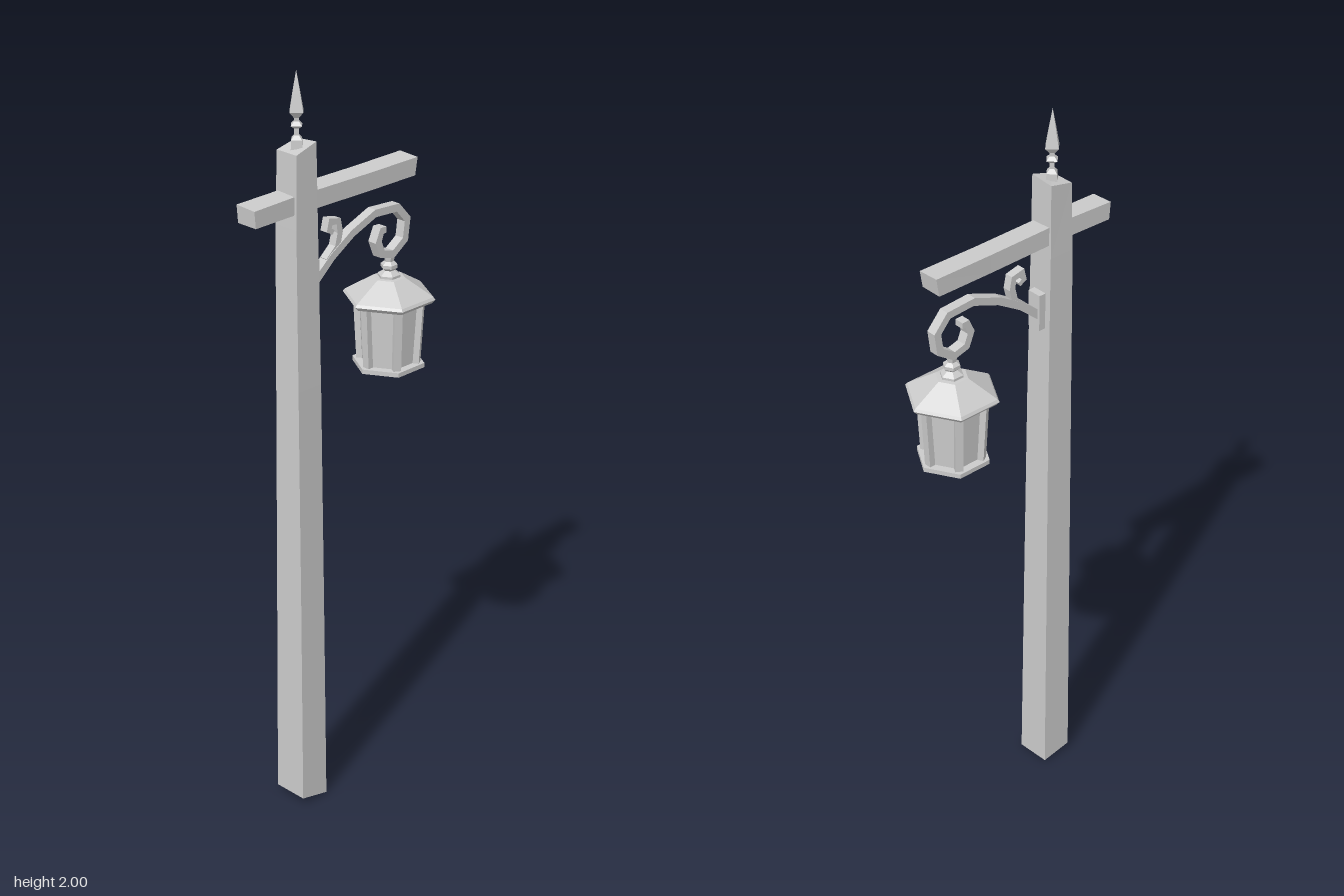
import * as THREE from 'three';

const mat = new THREE.MeshStandardMaterial({ color: 0xcccccc, flatShading: true });

function add(parent, name, geometry, x = 0, y = 0, z = 0) {
  const mesh = new THREE.Mesh(geometry, mat);
  mesh.name = name;
  mesh.position.set(x, y, z);
  parent.add(mesh);
  return mesh;
}

// Hewn timber: skins four-cornered rings, each ring ordered so its sides face outward
function timber(rings) {
  const index = [];
  for (let r = 0; r < rings.length - 1; r++) {
    for (let i = 0; i < 4; i++) {
      const a = r * 4 + i, b = r * 4 + (i + 1) % 4;
      index.push(a, b, b + 4, a, b + 4, a + 4);
    }
  }
  const e = (rings.length - 1) * 4;
  index.push(0, 2, 1, 0, 3, 2, e, e + 1, e + 2, e, e + 2, e + 3);
  const g = new THREE.BufferGeometry();
  g.setAttribute('position', new THREE.Float32BufferAttribute(rings.flat(2), 3));
  g.setIndex(index);
  const flat = g.toNonIndexed();
  flat.computeVertexNormals();
  return flat;
}

// Wrought iron strip: a mitred outline around a path [x, y, half width], extruded in z
function ironStrip(path, depth) {
  const pts = path.map(([x, y]) => new THREE.Vector2(x, y));
  const left = [], right = [];
  pts.forEach((p, i) => {
    const d0 = p.clone().sub(pts[Math.max(i - 1, 0)]).normalize();
    const d1 = pts[Math.min(i + 1, pts.length - 1)].clone().sub(p).normalize();
    const t = d0.clone().add(d1).normalize();
    const cos = t.dot(i ? d0 : d1);
    const n = new THREE.Vector2(-t.y, t.x).multiplyScalar(path[i][2] / Math.max(cos, 0.6));
    left.push(p.clone().add(n));
    right.push(p.clone().sub(n));
  });
  const shape = new THREE.Shape([...left, ...right.reverse()]);
  const g = new THREE.ExtrudeGeometry(shape, { depth, bevelEnabled: false });
  return g.translate(0, 0, -depth / 2);
}

// Faceted turning: profile of [radius, y], with corners on the x axis
function turned(profile, sides) {
  const g = new THREE.LatheGeometry(profile.map(([r, y]) => new THREE.Vector2(r, y)), sides);
  return g.rotateY(Math.PI / 2);
}

export function createModel() {
  const model = new THREE.Group();
  model.name = 'lampPost';

  // Post: [y, left x, right x, back z, front z, slant of the end]
  const postRings = [
    [0.01, -0.181, -0.094, -0.047, 0.05, 0.01],
    [0.6, -0.179, -0.097, -0.043, 0.046, 0],
    [1.2, -0.178, -0.1, -0.038, 0.041, 0],
    [1.62, -0.176, -0.104, -0.036, 0.036, 0],
    [1.815, -0.171, -0.105, -0.034, 0.033, -0.01],
  ].map(([y, l, r, b, f, s]) => [
    [l, y + s, f], [r, y - s, f], [r, y - s * 0.4, b], [l, y + s, b],
  ]);
  add(model, 'post', timber(postRings));

  // Crossbeam: [x, bottom y, top y, back z, front z, slant of the end]
  const beamRings = [
    [-0.303, 1.655, 1.702, -0.032, 0.029, -0.002],
    [-0.17, 1.656, 1.705, -0.029, 0.028, 0],
    [0.08, 1.654, 1.703, -0.03, 0.028, 0],
    [0.247, 1.655, 1.704, -0.031, 0.029, 0.004],
  ].map(([x, lo, hi, b, f, s]) => [
    [x - s, lo, f], [x - s, lo, b], [x + s, hi, b], [x + s, hi - 0.003, f],
  ]);
  add(model, 'crossbeam', timber(beamRings));

  // Spear finial
  add(model, 'finial', turned([
    [0, 1.8], [0.02, 1.805], [0.018, 1.832], [0.008, 1.842], [0.008, 1.858],
    [0.019, 1.866], [0.008, 1.876], [0.009, 1.885], [0.023, 1.9], [0.013, 1.945], [0, 2],
  ], 4), -0.138);

  // Hanging bracket
  const bracket = new THREE.Group();
  bracket.name = 'bracket';
  model.add(bracket);
  add(bracket, 'wallPlate', new THREE.BoxGeometry(0.024, 0.1, 0.04), -0.095, 1.468);
  add(bracket, 'scrollArm', ironStrip([
    [-0.09, 1.458, 0.011], [-0.03, 1.508, 0.01], [0.04, 1.551, 0.01], [0.12, 1.582, 0.01],
    [0.2, 1.577, 0.01], [0.235, 1.538, 0.01], [0.228, 1.486, 0.01], [0.185, 1.457, 0.01],
    [0.145, 1.468, 0.01], [0.131, 1.502, 0.01], [0.143, 1.53, 0.009], [0.158, 1.53, 0.008],
  ], 0.026));
  add(bracket, 'smallScroll', ironStrip([
    [-0.045, 1.5, 0.009], [-0.012, 1.528, 0.009], [-0.003, 1.565, 0.009], [-0.008, 1.594, 0.008],
    [-0.035, 1.6, 0.008], [-0.041, 1.579, 0.007], [-0.026, 1.57, 0.006],
  ], 0.022));

  // Six-sided lantern
  const lantern = new THREE.Group();
  lantern.name = 'lantern';
  lantern.position.x = 0.183;
  model.add(lantern);
  add(lantern, 'hanger', turned([
    [0, 1.455], [0.014, 1.45], [0.012, 1.437], [0.022, 1.429], [0.022, 1.42],
    [0.014, 1.413], [0.03, 1.402], [0.03, 1.39],
  ].reverse(), 6));
  add(lantern, 'roof', turned([
    [0, 1.333], [0.112, 1.333], [0.121, 1.343], [0.116, 1.35], [0.042, 1.395], [0, 1.398],
  ], 6));
  add(lantern, 'glass', turned([[0, 1.165], [0.071, 1.165], [0.081, 1.336], [0, 1.336]], 6));
  add(lantern, 'base', turned([[0, 1.155], [0.095, 1.155], [0.095, 1.167], [0, 1.167]], 6));

  // Corner bars leaning outward towards the roof
  for (let i = 0; i < 6; i++) {
    const corner = new THREE.Group();
    corner.name = 'cornerBar';
    corner.rotation.y = i * Math.PI / 3;
    lantern.add(corner);
    const bar = add(corner, 'bar', new THREE.BoxGeometry(0.016, 0.174, 0.02), 0.079, 1.251);
    bar.rotation.z = -0.055;
  }

  return model;
}
